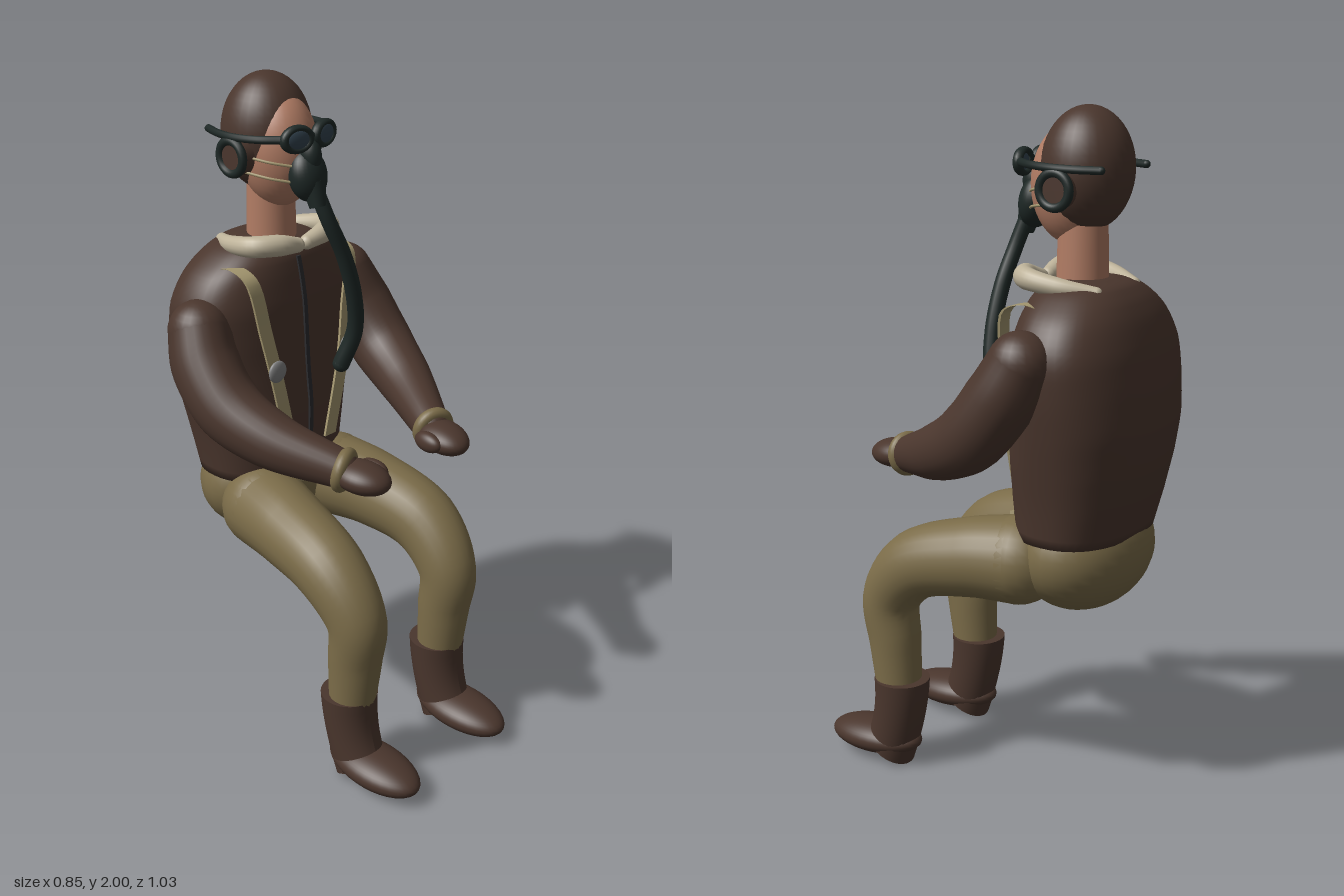
import * as THREE from 'three';
import { mergeVertices } from 'three/addons/utils/BufferGeometryUtils.js';

const COLORS = { leather: 0x4a362d, khaki: 0x7a6b48, skin: 0xb17c64, cream: 0xbdb299, webbing: 0xa3966f,
  rubber: 0x1e2826, metal: 0x808080, lens: 0x33434f, zip: 0x2b2b2e };
const mats = {};
for (const k in COLORS) mats[k] = new THREE.MeshStandardMaterial({ color: COLORS[k], side: THREE.DoubleSide });

const V = (a) => new THREE.Vector3(a[0], a[1], a[2]);

function add(parent, name, geometry, mat, pos = [0, 0, 0], rot = [0, 0, 0]) {
  const m = new THREE.Mesh(geometry, mats[mat]);
  m.name = name;
  m.position.set(...pos);
  m.rotation.set(...rot);
  parent.add(m);
  return m;
}

const ellipsoid = (rx, ry, rz) => new THREE.SphereGeometry(1, 32, 24).scale(rx, ry, rz);

// Interpolates rows of numbers at t in 0..1
function sample(rows, t) {
  const f = t * (rows.length - 1), i = Math.min(Math.floor(f), rows.length - 2);
  return rows[i].map((v, k) => THREE.MathUtils.lerp(v, rows[i + 1][k], f - i));
}

// Tapered tube through [x, y, z, radius] points with rounded ends
function limb(parent, name, pts, mat, radial = 24) {
  const g = new THREE.Group();
  g.name = name;
  const curve = new THREE.CatmullRomCurve3(pts.map(V));
  const n = 32, geo = new THREE.TubeGeometry(curve, n, 1, radial);
  const p = geo.attributes.position, v = new THREE.Vector3();
  for (let i = 0; i <= n; i++) {
    const c = curve.getPointAt(i / n), r = sample(pts, curve.getUtoTmapping(i / n))[3];
    for (let j = 0; j <= radial; j++) {
      const k = i * (radial + 1) + j;
      v.fromBufferAttribute(p, k).sub(c).multiplyScalar(r).add(c);
      p.setXYZ(k, v.x, v.y, v.z);
    }
  }
  add(g, name + 'Tube', geo, mat);
  for (const e of [pts[0], pts[pts.length - 1]]) {
    add(g, name + 'End', new THREE.SphereGeometry(e[3], radial, 16), mat, e.slice(0, 3));
  }
  parent.add(g);
}

// Flat strap of given width following a path
function ribbon(parent, name, pts, width, mat) {
  const curve = new THREE.CatmullRomCurve3(pts.map(V), false, 'centripetal');
  const geo = new THREE.BoxGeometry(width, 1, 0.008, 1, 24, 1), p = geo.attributes.position;
  for (let i = 0; i < p.count; i++) {
    const c = curve.getPoint(THREE.MathUtils.clamp(0.5 - p.getY(i), 0, 1));
    p.setXYZ(i, c.x + p.getX(i), c.y, c.z + p.getZ(i));
  }
  geo.computeVertexNormals();
  add(parent, name, geo, mat);
}

// Torso sections, bottom to top: y, half width, centre z, half depth
const SECTIONS = [
  [0.82, 0.235, -0.285, 0.165], [0.93, 0.25, -0.295, 0.185], [1.04, 0.27, -0.305, 0.198],
  [1.15, 0.29, -0.315, 0.198], [1.26, 0.305, -0.313, 0.19], [1.36, 0.305, -0.307, 0.178],
  [1.44, 0.265, -0.3, 0.158], [1.49, 0.21, -0.292, 0.138], [1.525, 0.15, -0.285, 0.11], [1.54, 0.07, -0.28, 0.06],
];

function torsoGeometry() {
  const path = new THREE.CatmullRomCurve3(SECTIONS.map(V));
  const geo = new THREE.CylinderGeometry(1, 1, 1, 48, 36), p = geo.attributes.position;
  const round = (v) => Math.sign(v) * Math.pow(Math.abs(v), 0.85);
  for (let i = 0; i < p.count; i++) {
    const t = THREE.MathUtils.clamp(p.getY(i) + 0.5, 0, 1), s = path.getPoint(t), depth = sample(SECTIONS, t)[3];
    p.setXYZ(i, round(p.getX(i)) * s.y, s.x, s.z + round(p.getZ(i)) * depth);
  }
  geo.deleteAttribute('uv');
  geo.deleteAttribute('normal');
  const merged = mergeVertices(geo, 1e-5);
  merged.computeVertexNormals();
  return merged;
}

function buildHead(root) {
  const head = new THREE.Group();
  head.name = 'head';
  root.add(head);
  add(head, 'neck', new THREE.CylinderGeometry(0.068, 0.074, 0.24, 32), 'skin', [0, 1.59, -0.26]);
  add(head, 'face', ellipsoid(0.108, 0.165, 0.118), 'skin', [0, 1.79, -0.225]);
  add(head, 'flyingHelmet', ellipsoid(0.132, 0.168, 0.128), 'leather', [0, 1.832, -0.272]);

  // Breathing mask and hose
  add(head, 'mask', ellipsoid(0.06, 0.075, 0.05), 'rubber', [0, 1.735, -0.11], [-0.2, 0, 0]);
  add(head, 'maskNose', ellipsoid(0.03, 0.05, 0.035), 'rubber', [0, 1.79, -0.1]);
  add(head, 'maskOutlet', new THREE.CylinderGeometry(0.035, 0.025, 0.07, 24), 'rubber', [0, 1.685, -0.08], [-0.3, 0, 0]);
  limb(head, 'hose', [[0, 1.71, -0.085, 0.022], [0.025, 1.61, -0.055, 0.022], [0.07, 1.5, -0.038, 0.023],
    [0.11, 1.37, -0.035, 0.024], [0.13, 1.25, -0.05, 0.025], [0.11, 1.14, -0.085, 0.026]], 'rubber', 16);

  // Goggles
  add(head, 'goggleBridge', new THREE.CylinderGeometry(0.01, 0.01, 0.05, 12), 'rubber', [0, 1.85, -0.092], [0, 0, Math.PI / 2]);
  for (const s of [1, -1]) {
    const turn = [0, s * 0.2, 0];
    add(head, 'goggleFrame', new THREE.TorusGeometry(0.036, 0.011, 12, 32).scale(1.15, 0.85, 1.3), 'rubber', [s * 0.052, 1.846, -0.098], turn);
    add(head, 'goggleLens', ellipsoid(0.041, 0.03, 0.012), 'lens', [s * 0.052, 1.846, -0.094], turn);
    limb(head, 'goggleStrap', [[s * 0.088, 1.848, -0.108, 0.012], [s * 0.13, 1.846, -0.17, 0.011],
      [s * 0.148, 1.843, -0.25, 0.011], [s * 0.14, 1.841, -0.32, 0.011], [s * 0.118, 1.84, -0.385, 0.011]], 'rubber', 10);

    // Earphones
    const side = [0, 0, Math.PI / 2];
    add(head, 'earCup', new THREE.CylinderGeometry(0.05, 0.056, 0.04, 32), 'leather', [s * 0.132, 1.785, -0.26], side);
    add(head, 'earRing', new THREE.TorusGeometry(0.046, 0.013, 12, 36), 'rubber', [s * 0.148, 1.785, -0.26], [0, Math.PI / 2, 0]);

    // Mask straps
    for (const [y0, y1] of [[1.765, 1.79], [1.72, 1.745]]) {
      limb(head, 'maskStrap', [[s * 0.045, y0, -0.115, 0.004], [s * 0.095, (y0 + y1) / 2, -0.16, 0.004],
        [s * 0.128, y1, -0.24, 0.004]], 'webbing', 8);
    }
  }
}

function buildArm(root, s) {
  const lift = s > 0 ? 0.03 : 0;
  const arm = new THREE.Group();
  arm.name = s > 0 ? 'leftArm' : 'rightArm';
  root.add(arm);
  limb(arm, 'sleeve', [[s * 0.295, 1.315 + lift, -0.255, 0.09], [s * 0.318, 1.23 + lift / 2, -0.205, 0.1],
    [s * 0.322, 1.13, -0.11, 0.098], [s * 0.285, 1.06, 0.02, 0.083], [s * 0.195, 1.0, 0.2, 0.056]], 'leather');
  add(arm, 'cuff', new THREE.TorusGeometry(0.046, 0.02, 14, 36), 'khaki', [s * 0.19, 0.998, 0.212], [0.15, -s * 0.35, 0]);
  add(arm, 'glove', ellipsoid(0.065, 0.043, 0.09), 'leather', [s * 0.176, 0.99, 0.265], [0.1, -s * 0.2, 0]);
  add(arm, 'thumb', ellipsoid(0.025, 0.03, 0.05), 'leather', [s * 0.118, 0.99, 0.255], [0, -s * 0.1, 0]);
}

function buildLeg(root, s) {
  const leg = new THREE.Group();
  leg.name = s > 0 ? 'leftLeg' : 'rightLeg';
  root.add(leg);
  limb(leg, 'trouser', [[s * 0.15, 0.735, -0.155, 0.13], [s * 0.18, 0.72, -0.01, 0.118], [s * 0.205, 0.665, 0.175, 0.105],
    [s * 0.203, 0.54, 0.275, 0.088], [s * 0.2, 0.4, 0.268, 0.08], [s * 0.2, 0.26, 0.258, 0.07]], 'khaki');

  // Boot shaft leans forward at the heel, with a rounded foot in front
  const shaft = new THREE.CylinderGeometry(0.085, 0.073, 0.24, 32, 8), p = shaft.attributes.position;
  for (let i = 0; i < p.count; i++) {
    const d = 0.5 - p.getY(i) / 0.24, z = p.getZ(i);
    p.setXYZ(i, p.getX(i), p.getY(i) + d * d * z * 0.6, z + 0.05 * d * d);
  }
  shaft.computeVertexNormals();
  add(leg, 'bootShaft', shaft, 'leather', [s * 0.2, 0.16, 0.245]);
  add(leg, 'bootFoot', ellipsoid(0.088, 0.052, 0.165), 'leather', [s * 0.2, 0.062, 0.35], [0.06, 0, 0]);
}

function buildHarness(root) {
  const harness = new THREE.Group();
  harness.name = 'harness';
  root.add(harness);
  const disc = (name, r, pos) => add(harness, name, ellipsoid(r, r, 0.012), 'metal', pos);
  for (const s of [1, -1]) {
    ribbon(harness, 'shoulderStrap', [[s * 0.19, 1.47, -0.29], [s * 0.195, 1.485, -0.2], [s * 0.195, 1.46, -0.14],
      [s * 0.165, 1.3, -0.118], [s * 0.135, 1.15, -0.105], [s * 0.08, 0.91, -0.105]], 0.045, 'webbing');
    disc('strapBuckle', 0.033, [s * 0.147, 1.19, -0.092]);
    add(harness, 'lapStrap', new THREE.BoxGeometry(0.11, 0.035, 0.012), 'webbing', [s * 0.055, 0.828, -0.085], [0, s * 0.25, s * 0.2]);
  }
  disc('centreBuckle', 0.04, [0, 0.835, -0.065]);
}

export function createModel() {
  const root = new THREE.Group();
  root.name = 'seatedAviator';
  add(root, 'jacket', torsoGeometry(), 'leather');
  add(root, 'pelvis', ellipsoid(0.245, 0.18, 0.178), 'khaki', [0, 0.762, -0.288]);

  // Zip follows the chest line
  ribbon(root, 'zip', SECTIONS.slice(1, 8).reverse().map(([y, , z, d]) => [0, y, z + d + 0.002]), 0.014, 'zip');

  // Fleece collar, one roll on each side
  for (const s of [1, -1]) {
    limb(root, 'collar', [[s * 0.02, 1.53, -0.135, 0.022], [s * 0.09, 1.545, -0.135, 0.031], [s * 0.148, 1.545, -0.175, 0.031],
      [s * 0.145, 1.53, -0.27, 0.026], [s * 0.1, 1.515, -0.365, 0.018]], 'cream', 16);
    buildArm(root, s);
    buildLeg(root, s);
  }
  buildHarness(root);
  buildHead(root);
  return root;
}
